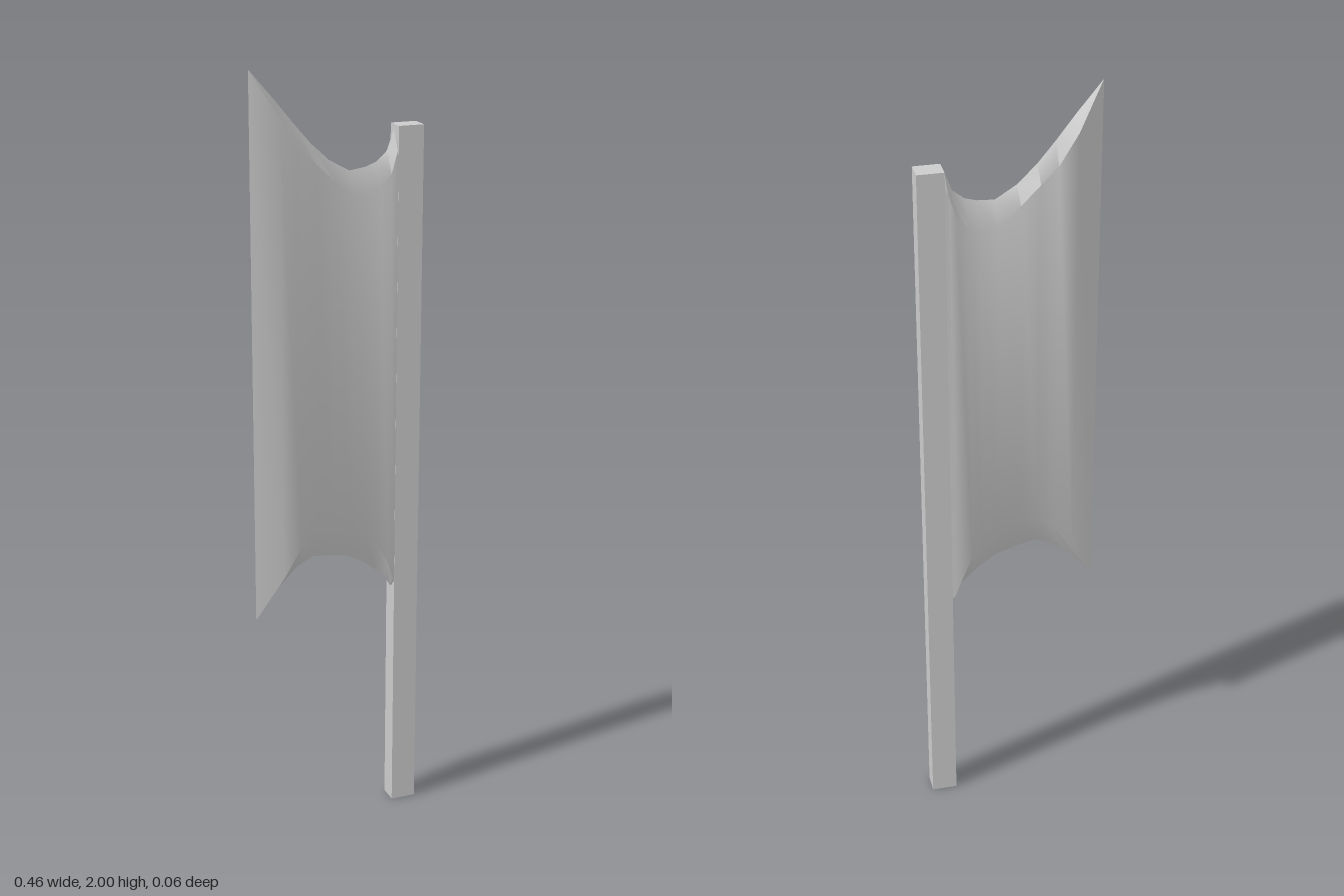
import * as THREE from 'three';
import { toCreasedNormals } from 'three/addons/utils/BufferGeometryUtils.js';

// Blade cross-sections from cutting edge to handle:
// x, top ridge y, top of faces y, bottom of faces y, bottom ridge y, front z, back z
const SECTIONS = [
  [-0.232, 2.0, 2.0, 0.61, 0.61, 0, 0],
  [-0.165, 1.925, 1.885, 0.72, 0.69, 0.027, -0.023],
  [-0.115, 1.865, 1.81, 0.795, 0.735, 0.027, -0.024],
  [-0.07, 1.815, 1.77, 0.84, 0.755, 0.026, -0.025],
  [-0.02, 1.77, 1.725, 0.832, 0.748, 0.025, -0.026],
  [0.035, 1.74, 1.68, 0.82, 0.735, 0.024, -0.027],
  [0.08, 1.745, 1.68, 0.79, 0.71, 0.023, -0.028],
  [0.11, 1.755, 1.695, 0.76, 0.685, 0.022, -0.029],
  [0.14, 1.78, 1.725, 0.70, 0.66, 0.022, -0.032],
  [0.158, 1.83, 1.78, 0.65, 0.63, 0.02, -0.03],
  [0.175, 1.835, 1.80, 0.63, 0.62, 0.018, -0.026],
];

function bladeGeometry() {
  // Six-sided ring per section: ridge, front face, lower ridge, back face
  const rings = SECTIONS.map(([x, top, faceTop, faceBottom, bottom, front, back]) => [
    [top, 0], [faceTop, front], [faceBottom, front],
    [bottom, 0], [faceBottom, back], [faceTop, back],
  ].map(([y, z]) => new THREE.Vector3(x, y, z)));

  const positions = [];
  const addTriangle = (a, b, c) => {
    if (new THREE.Triangle(a, b, c).getArea() < 1e-7) return;
    for (const p of [a, b, c]) positions.push(p.x, p.y, p.z);
  };
  for (let i = 0; i < rings.length - 1; i++) {
    for (let k = 0; k < 6; k++) {
      const n = (k + 1) % 6;
      const a = rings[i][k], b = rings[i][n], c = rings[i + 1][n], d = rings[i + 1][k];
      addTriangle(a, b, c);
      addTriangle(a, c, d);
    }
  }
  const geometry = new THREE.BufferGeometry();
  geometry.setAttribute('position', new THREE.Float32BufferAttribute(positions, 3));
  return toCreasedNormals(geometry, 0.65);
}

export function createModel() {
  const group = new THREE.Group();
  const material = new THREE.MeshStandardMaterial({ color: 0xcccccc });

  // Broad blade with scooped, bevelled ends
  const blade = new THREE.Mesh(bladeGeometry(), material);
  blade.name = 'blade';

  // Long square handle running up the spine, turned slightly
  const handle = new THREE.Mesh(new THREE.BoxGeometry(0.066, 1.84, 0.051), material);
  handle.name = 'handle';
  handle.position.set(0.196, 0.92, -0.001);
  handle.rotation.y = -0.12;

  group.add(blade, handle);
  return group;
}
